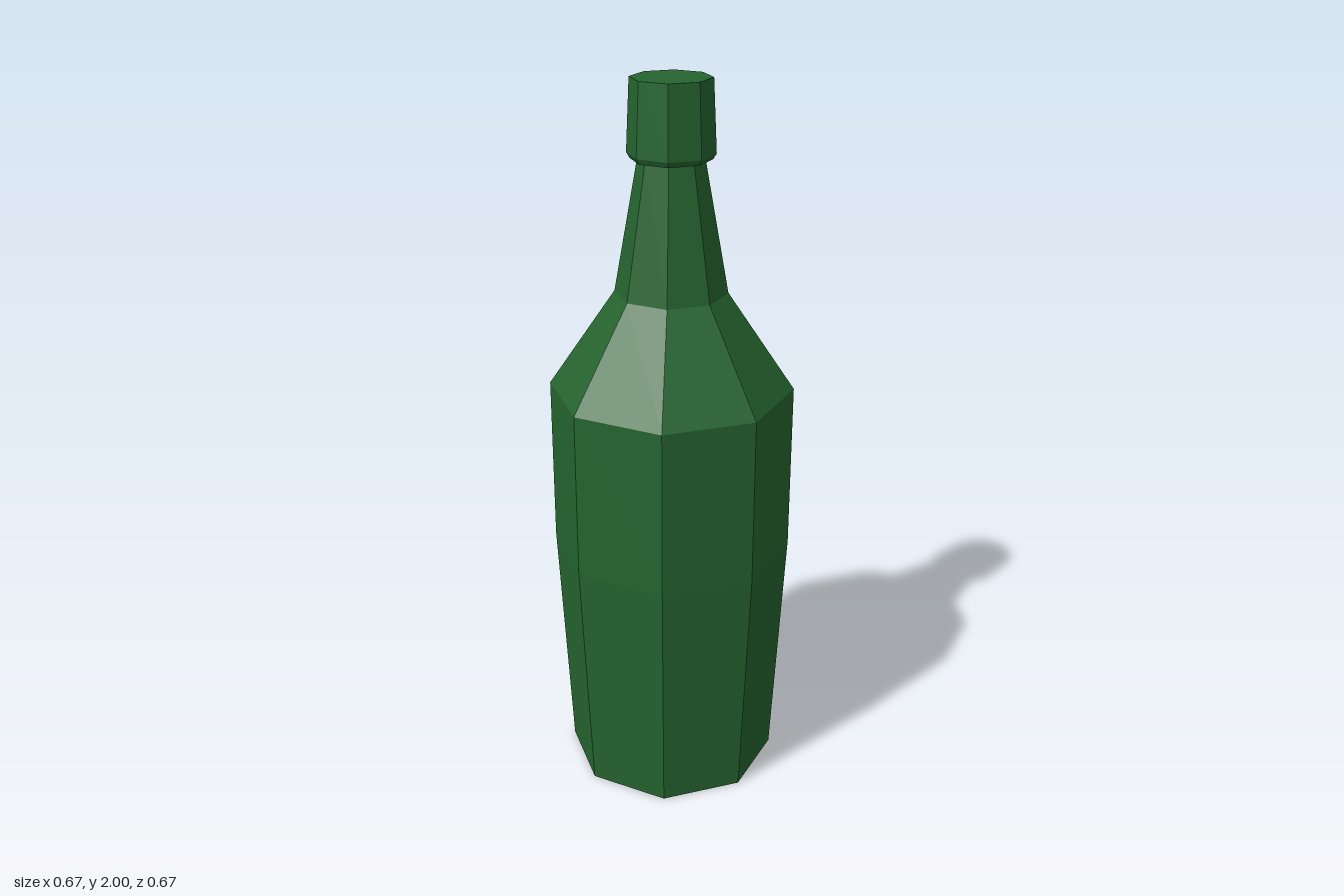
import * as THREE from 'three';

const SIDES = 8;

export function createModel() {
  const model = new THREE.Group();
  model.name = 'bottle';

  const glass = new THREE.MeshStandardMaterial({ color: 0x25642f });
  glass.name = 'green glass';
  glass.flatShading = true;

  // Eight-sided turned part from [radius, height] pairs, bottom to top
  function turned(name, profile) {
    const points = profile.map(([r, y]) => new THREE.Vector2(r, y));
    const mesh = new THREE.Mesh(new THREE.LatheGeometry(points, SIDES), glass);
    mesh.name = name;
    model.add(mesh);
  }

  // Base, tapered lower body, straight upper body and shoulder
  turned('body', [[0, 0], [0.3, 0], [0.335, 0.7], [0.335, 1.17], [0.152, 1.44]]);

  // Tapering neck
  turned('neck', [[0.152, 1.44], [0.088, 1.795]]);

  // Collar with a bevelled underside and a closed top
  turned('collar', [[0.088, 1.795], [0.107, 1.795], [0.116, 1.81], [0.107, 2], [0, 2]]);

  return model;
}
